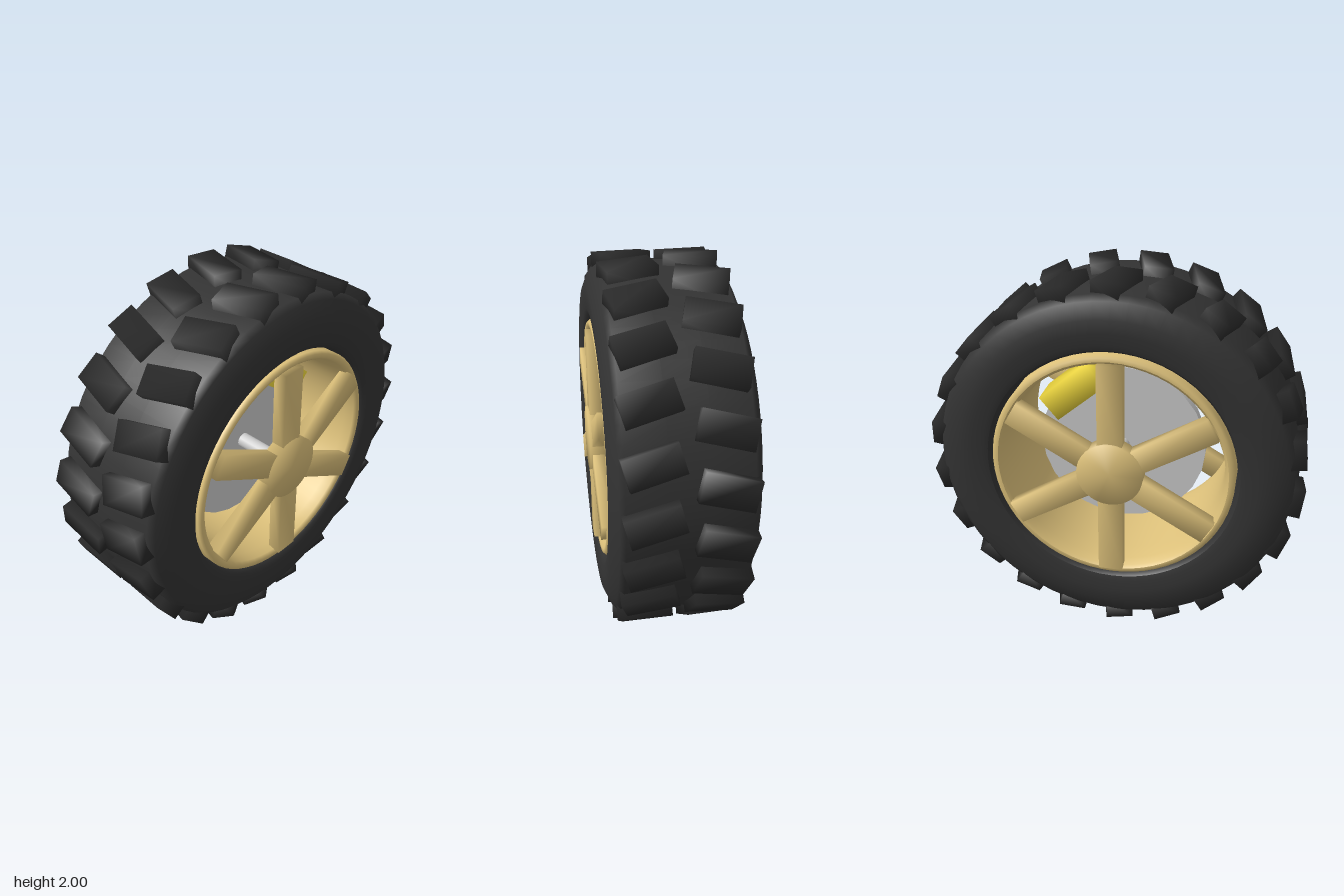
import * as THREE from 'three';
import { mergeVertices } from 'three/addons/utils/BufferGeometryUtils.js';

const paint = (color) => new THREE.MeshStandardMaterial({ color });

// Box or cylinder with shared corners, so the shading rolls softly over its edges
function soften(geometry) {
  geometry.deleteAttribute('normal');
  geometry.deleteAttribute('uv');
  const merged = mergeVertices(geometry);
  merged.computeVertexNormals();
  return merged;
}

// Closed ring around z from one half [radius, z] profile, mirrored across z = 0
function ring(outerHalf, innerHalf) {
  const flip = (points) => points.map(([r, z]) => [r, -z]).reverse();
  const loop = [...flip(outerHalf), ...outerHalf, ...innerHalf, ...flip(innerHalf)];
  loop.push(loop[0]);
  const geometry = new THREE.LatheGeometry(loop.map(([r, z]) => new THREE.Vector2(r, z)), 64);
  return geometry.rotateX(Math.PI / 2);
}

export function createModel() {
  const model = new THREE.Group();
  model.name = 'offRoadWheel';
  const wheel = new THREE.Group();
  wheel.name = 'wheel';
  wheel.position.y = 1;
  model.add(wheel);

  const rubber = paint(0x333333);
  const lugRubber = paint(0x292929);
  const gold = paint(0xdcc07a);
  const yellow = paint(0xecd53c);
  const grey = paint(0xcccccc);

  function add(name, geometry, material, parent = wheel) {
    const mesh = new THREE.Mesh(geometry, material);
    mesh.name = name;
    parent.add(mesh);
    return mesh;
  }

  // Tyre body with bulging sidewalls and chamfered shoulders
  add('tyre', ring(
    [[0.945, 0.1], [0.94, 0.3], [0.91, 0.325], [0.83, 0.36], [0.76, 0.36], [0.7, 0.355], [0.67, 0.345]],
    [[0.656, 0.325], [0.656, 0.3]]
  ), rubber);

  // Two staggered rows of slanted tread lugs
  const lugCount = 22;
  const lugGeometry = soften(new THREE.BoxGeometry(0.115, 0.15, 0.27));
  for (const side of [1, -1]) {
    for (let i = 0; i < lugCount; i++) {
      const pivot = new THREE.Group();
      pivot.name = 'treadLugPivot';
      pivot.rotation.z = ((i + (side < 0 ? 0.5 : 0)) / lugCount) * Math.PI * 2;
      const lug = add('treadLug', lugGeometry, lugRubber, pivot);
      lug.position.set(0.938, 0, side * 0.17);
      lug.rotation.x = side * 0.26;
      wheel.add(pivot);
    }
  }

  // Rim barrel with rolled lips
  add('rim', ring(
    [[0.645, 0.2], [0.645, 0.335], [0.632, 0.35], [0.612, 0.35]],
    [[0.597, 0.335], [0.588, 0.28], [0.58, 0.18]]
  ), gold);

  // Six spokes and a hub cap on each face
  const spokeGeometry = soften(new THREE.BoxGeometry(0.52, 0.13, 0.075));
  spokeGeometry.translate(0.34, 0, 0);
  const hubGeometry = soften(new THREE.CylinderGeometry(0.175, 0.175, 0.085, 32));
  hubGeometry.rotateX(Math.PI / 2);
  for (const side of [1, -1]) {
    for (let i = 0; i < 6; i++) {
      const spoke = add('spoke', spokeGeometry, gold);
      spoke.position.z = side * 0.3375;
      spoke.rotation.z = Math.PI / 6 + (i * Math.PI) / 3;
    }
    add('hubCap', hubGeometry, gold).position.z = side * 0.3445;
  }

  // Brake disc on a slim axle
  const disc = new THREE.CylinderGeometry(0.46, 0.46, 0.06, 24);
  add('brakeDisc', disc.rotateX(Math.PI / 2), grey);
  const axle = new THREE.CylinderGeometry(0.04, 0.04, 0.66, 16);
  add('axle', axle.rotateX(Math.PI / 2), grey);

  // Brake caliper straddling the disc edge
  const caliper = add('brakeCaliper', soften(new THREE.BoxGeometry(0.16, 0.34, 0.2)), yellow);
  const angle = THREE.MathUtils.degToRad(50);
  caliper.position.set(0.414 * Math.cos(angle), 0.414 * Math.sin(angle), 0);
  caliper.rotation.z = angle;

  return model;
}
